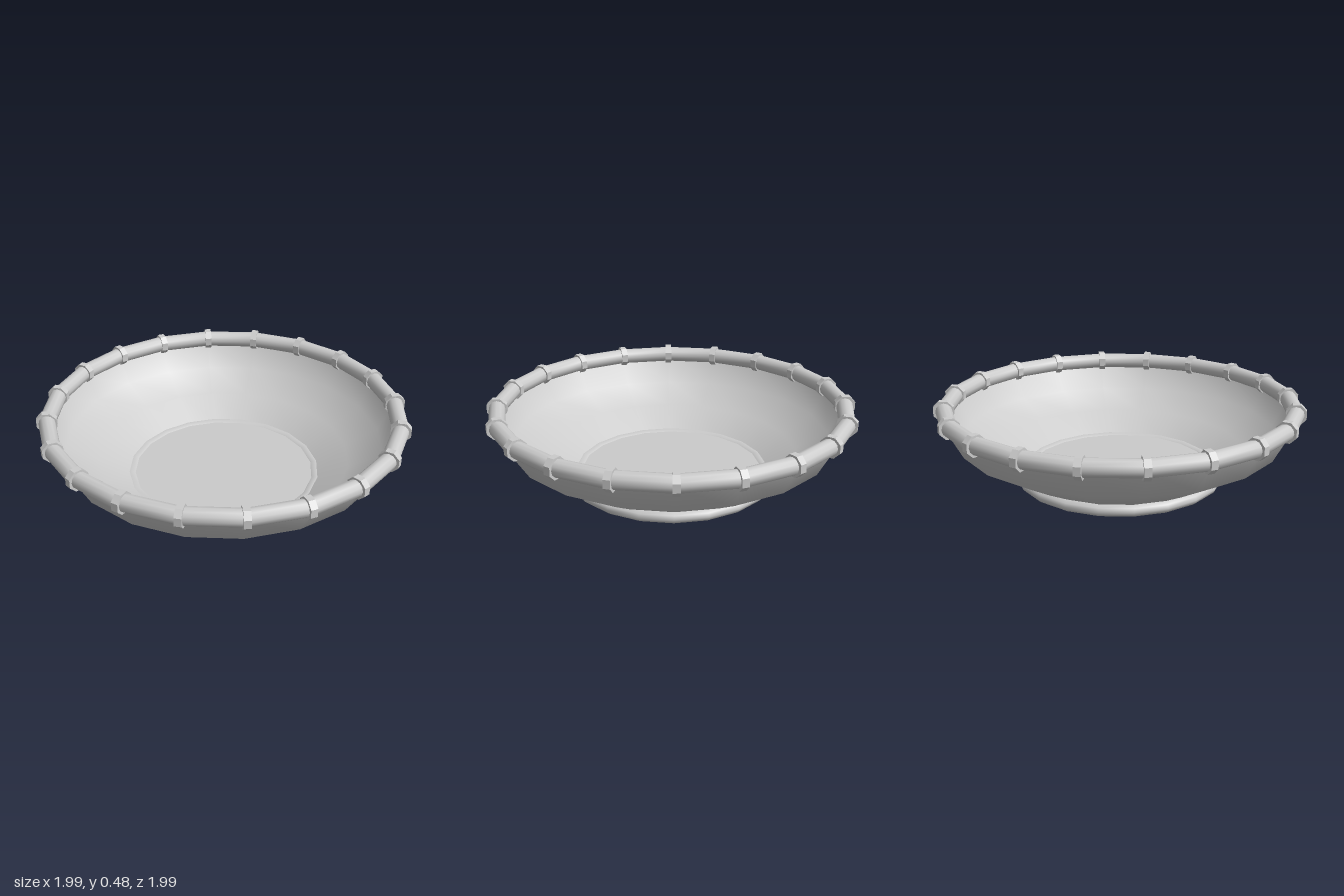
import * as THREE from 'three';

const SIDES = 20;
const RIM_RADIUS = 0.941;
const RIM_HEIGHT = 0.422;

export function createModel() {
  const model = new THREE.Group();
  model.name = 'bowl';
  const smooth = new THREE.MeshStandardMaterial({ color: 0xcccccc });
  const faceted = new THREE.MeshStandardMaterial({ color: 0xcccccc, flatShading: true });

  const add = (name, geometry, material, parent = model) => {
    const mesh = new THREE.Mesh(geometry, material);
    mesh.name = name;
    parent.add(mesh);
    return mesh;
  };
  const lathe = (points) =>
    new THREE.LatheGeometry(points.map(([r, y]) => new THREE.Vector2(r, y)), SIDES);

  // Flaring wall: outer skin runs upward, inner skin runs downward
  add('outerWall', lathe([[0.53, 0.06], [0.7, 0.15], [0.875, 0.25], [0.955, 0.4]]), smooth);
  add('innerWall', lathe([[0.935, 0.4], [0.86, 0.262], [0.685, 0.165], [0.515, 0.068]]), smooth);

  // Flat floor inside the foot ring
  add('floor', new THREE.CylinderGeometry(0.52, 0.52, 0.015, SIDES), faceted).position.y = 0.06;

  // Flattened foot ring
  const foot = new THREE.TorusGeometry(0.522, 0.052, 12, SIDES);
  foot.scale(1, 1, 0.72);
  foot.rotateX(-Math.PI / 2);
  add('footRing', foot, smooth).position.y = 0.0375;

  // Rounded rim
  const rim = new THREE.TorusGeometry(RIM_RADIUS, 0.045, 12, SIDES);
  rim.rotateX(-Math.PI / 2);
  add('rim', rim, smooth).position.y = RIM_HEIGHT;

  // Octagonal bands clasping the rim at every corner
  const bands = new THREE.Group();
  bands.name = 'rimBands';
  model.add(bands);
  const bandGeometry = new THREE.CylinderGeometry(0.058, 0.058, 0.036, 8);
  bandGeometry.rotateY(Math.PI / 8);
  bandGeometry.rotateX(Math.PI / 2);
  for (let i = 0; i < SIDES; i++) {
    const angle = (i / SIDES) * Math.PI * 2;
    const band = add('rimBand', bandGeometry, faceted, bands);
    band.position.set(Math.cos(angle) * RIM_RADIUS, RIM_HEIGHT, -Math.sin(angle) * RIM_RADIUS);
    band.rotation.y = angle;
  }
  return model;
}
